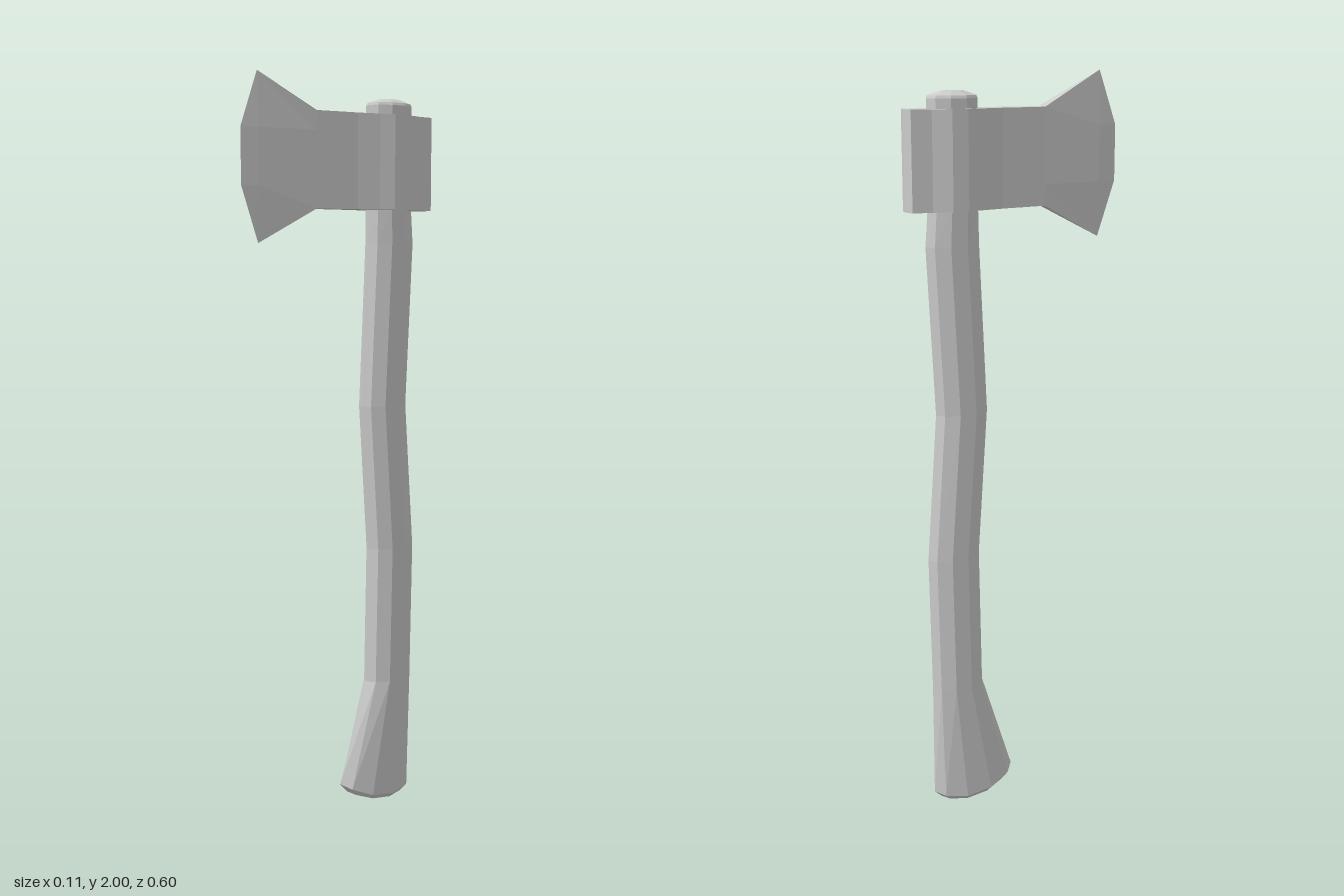
import * as THREE from 'three';

const material = new THREE.MeshStandardMaterial({ color: 0xcccccc, flatShading: true, roughness: 0.8 });

// Skins a series of closed rings (arrays of Vector3); collapsed triangles are dropped.
function loft(name, rings) {
  const positions = [];
  const tri = new THREE.Triangle();
  const add = (a, b, c) => {
    tri.set(a, b, c);
    if (tri.getArea() > 1e-8) for (const p of [a, b, c]) positions.push(p.x, p.y, p.z);
  };
  for (let r = 0; r < rings.length - 1; r++) {
    const lower = rings[r], upper = rings[r + 1], n = lower.length;
    for (let i = 0; i < n; i++) {
      const j = (i + 1) % n;
      add(lower[i], lower[j], upper[j]);
      add(lower[i], upper[j], upper[i]);
    }
  }
  const geometry = new THREE.BufferGeometry();
  geometry.setAttribute('position', new THREE.Float32BufferAttribute(positions, 3));
  geometry.computeVertexNormals();
  const mesh = new THREE.Mesh(geometry, material);
  mesh.name = name;
  return mesh;
}

// Ten-sided oval section of the handle; y may be a number or a function of z.
function oval(y, front, back, rx = 0.046) {
  const ring = [];
  for (let i = 0; i < 10; i++) {
    const a = (i / 10) * Math.PI * 2;
    const z = (front + back) / 2 + ((front - back) / 2) * Math.cos(a);
    ring.push(new THREE.Vector3(rx * Math.sin(a), typeof y === 'function' ? y(z) : y, z));
  }
  return ring;
}

// Curved handle with a flared, bevelled foot and a domed top
function createHandle() {
  const bowl = (base) => (z) => base + 2 * (z + 0.165) ** 2;
  return loft('handle', [
    oval(0, -0.165, -0.165, 0),
    oval(bowl(0.005), -0.034, -0.23, 0.034),
    oval(bowl(0.018), -0.01, -0.25),
    oval(0.35, -0.1, -0.25),
    oval(0.73, -0.107, -0.257),
    oval(1.13, -0.08, -0.228),
    oval(1.57, -0.1, -0.25),
    oval(1.67, -0.102, -0.242),
    oval(1.935, -0.102, -0.242),
    oval(1.942, -0.105, -0.239, 0.043),
    oval(1.953, -0.14, -0.204, 0.02),
    oval(1.953, -0.172, -0.172, 0),
  ]);
}

// Axe head: block around the handle, thinning forward into a flared blade
function createHead() {
  // Section at z: up the left side, down the right; outer corners may be narrower or set back.
  const section = (z, half, { low = 1.66, high = 1.91, outerHalf = half, outerZ = z } = {}) => {
    const side = [
      [outerHalf, low, outerZ],
      [half, 1.715, z],
      [half, 1.86, z],
      [outerHalf, high, outerZ],
    ];
    const left = side.map(([x, y, zz]) => new THREE.Vector3(x, y, zz));
    const right = side.map(([x, y, zz]) => new THREE.Vector3(-x, y, zz)).reverse();
    return [...left, ...right];
  };
  const outline = [
    [-0.303, 0], [-0.296, 0.031], [-0.243, 0.037], [-0.195, 0.054],
    [-0.152, 0.054], [-0.11, 0.043], [-0.045, 0.031], [0.08, 0.02],
  ];
  const flare = { low: 1.57, high: 2, outerHalf: 0, outerZ: 0.25 };
  return loft('axeHead', [
    ...outline.map(([z, half]) => section(z, half)),
    section(0.25, 0.006, flare),
    section(0.3, 0, flare),
  ]);
}

export function createModel() {
  const axe = new THREE.Group();
  axe.name = 'axe';
  axe.add(createHandle(), createHead());
  return axe;
}
